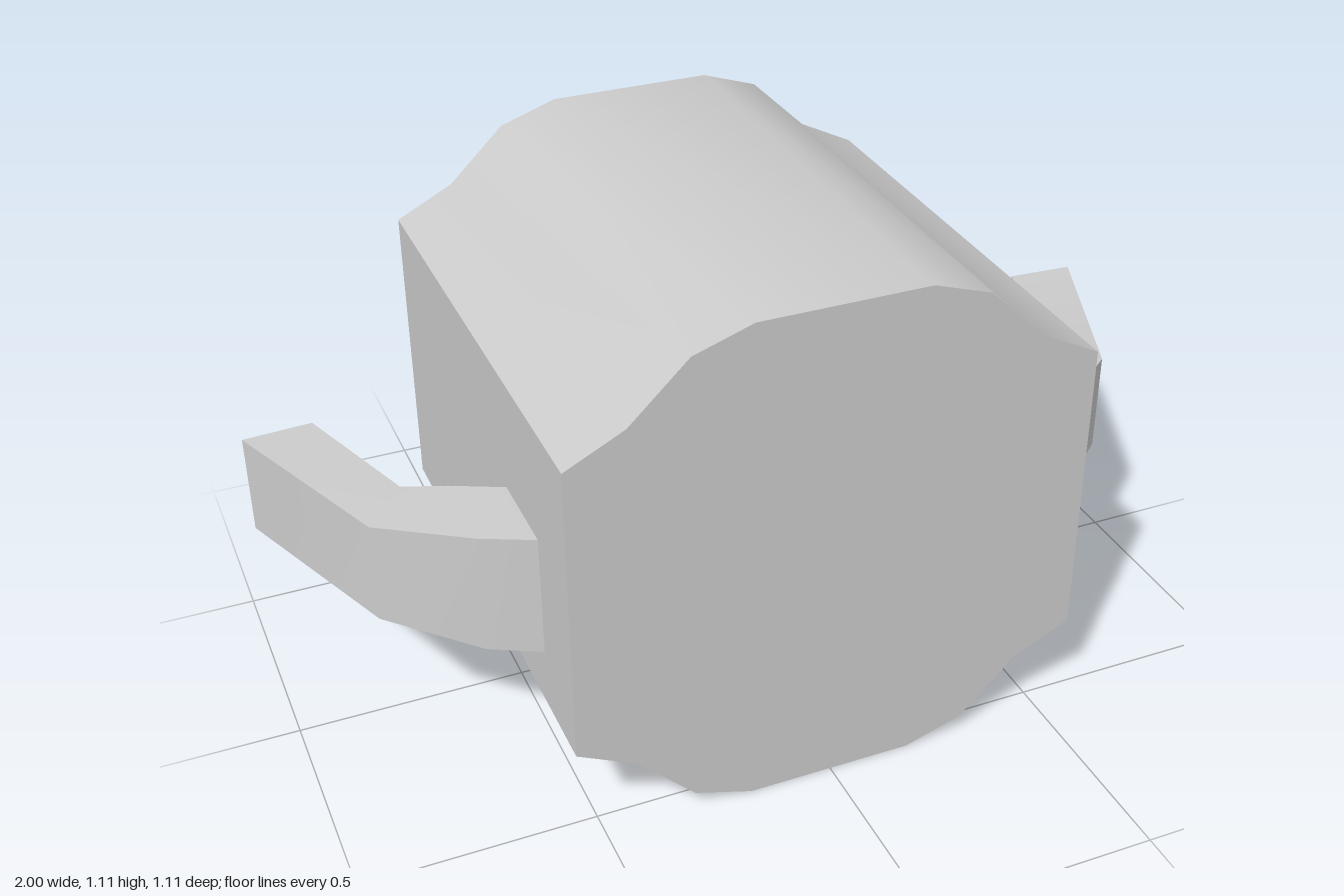
import * as THREE from 'three';
import { toCreasedNormals } from 'three/addons/utils/BufferGeometryUtils.js';

const CREASE = 0.6;
const MID_Y = 0.493; // height of the arms' centre line

// Quarter outline of the body, from the side wall up to the flat top
const UPPER = [[0.555, 0.885], [0.43, 0.948], [0.305, 1.068], [0.18, 1.11]];
const LOWER = [[0.18, 0], [0.305, 0.04], [0.43, 0.163], [0.555, 0.225]];

// Arm cross-sections: outer x, z, inner x, z, half height
const ARM = [
  [0.55, 0.385, 0.55, 0.188, 0.136],
  [0.66, 0.33, 0.66, 0.132, 0.134],
  [0.835, 0.18, 0.742, 0.065, 0.112],
  [1.0, -0.235, 0.85, -0.245, 0.112],
];

function makeBody() {
  const right = [...LOWER, ...UPPER];
  const left = right.map(([x, y]) => [-x, y]).reverse();
  const shape = new THREE.Shape([...right, ...left].map(([x, y]) => new THREE.Vector2(x, y)));
  const geometry = new THREE.ExtrudeGeometry(shape, { depth: 1.11, bevelEnabled: false });
  geometry.translate(0, 0, -0.555);
  return toCreasedNormals(geometry, CREASE);
}

// Rectangular tube swept through the cross-sections; side is +1 or -1
function makeArm(side) {
  const positions = [];
  const indices = [];
  for (const [ox, oz, ix, iz, h] of ARM) {
    positions.push(
      side * ox, MID_Y - h, oz,
      side * ix, MID_Y - h, iz,
      side * ix, MID_Y + h, iz,
      side * ox, MID_Y + h, oz,
    );
  }
  const quad = (a, b, c, d) => {
    if (side > 0) indices.push(a, b, c, a, c, d);
    else indices.push(a, c, b, a, d, c);
  };
  for (let s = 0; s < ARM.length - 1; s++) {
    for (let i = 0; i < 4; i++) {
      const j = (i + 1) % 4;
      quad(s * 4 + i, s * 4 + j, s * 4 + 4 + j, s * 4 + 4 + i);
    }
  }
  // End caps
  const e = (ARM.length - 1) * 4;
  quad(e, e + 1, e + 2, e + 3);
  quad(3, 2, 1, 0);
  const geometry = new THREE.BufferGeometry();
  geometry.setAttribute('position', new THREE.Float32BufferAttribute(positions, 3));
  geometry.setIndex(indices);
  return toCreasedNormals(geometry, CREASE);
}

export function createModel() {
  const group = new THREE.Group();
  const material = new THREE.MeshStandardMaterial({ color: 0xcccccc });
  const add = (name, geometry) => {
    const mesh = new THREE.Mesh(geometry, material);
    mesh.name = name;
    group.add(mesh);
  };
  add('body', makeBody());
  add('leftArm', makeArm(1));
  add('rightArm', makeArm(-1));
  return group;
}
